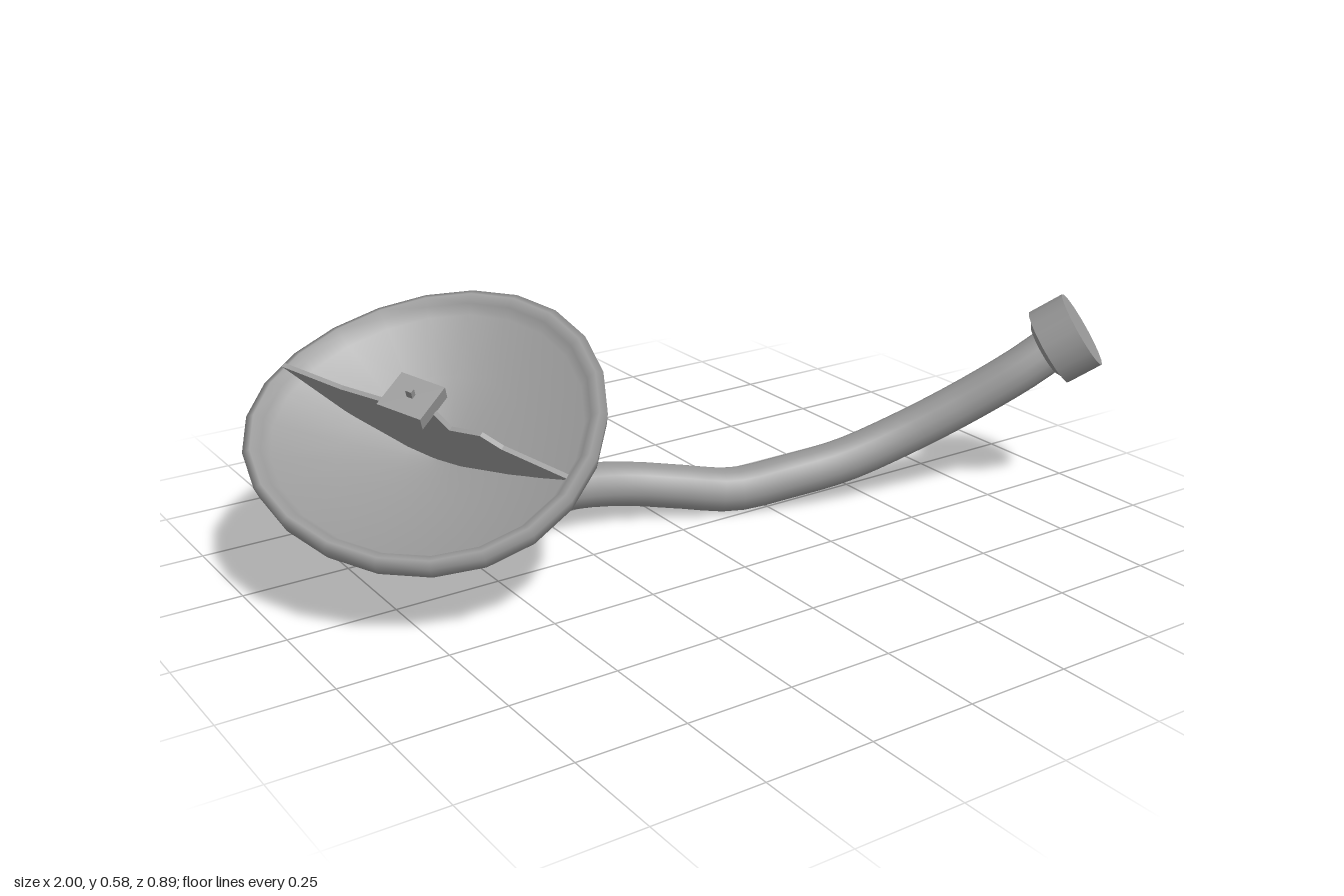
import * as THREE from 'three';

const grey = new THREE.MeshStandardMaterial({ color: 0x999999, side: THREE.DoubleSide });
const v3 = (p) => new THREE.Vector3(...p);

function mesh(name, geometry, parent) {
  const m = new THREE.Mesh(geometry, grey);
  m.name = name;
  parent.add(m);
  return m;
}

const lathe = (pts, sides) =>
  new THREE.LatheGeometry(pts.map(([r, y]) => new THREE.Vector2(r, y)), sides);

// Bends a bowl into a slight saddle, high along one diagonal and low across it
function saddle(geometry, height, radius) {
  const p = geometry.attributes.position;
  for (let i = 0; i < p.count; i++) {
    const along = (0.53 * p.getX(i) - 0.85 * p.getZ(i)) / radius;
    const across = (0.85 * p.getX(i) + 0.53 * p.getZ(i)) / radius;
    p.setY(i, p.getY(i) + height * (along * along - across * across));
  }
  return geometry;
}

// Group whose local y runs along `axis` and local x as near `side` as possible
function orientedGroup(name, position, axis, side, parent) {
  const y = v3(axis).normalize();
  const x = v3(side).addScaledVector(y, -v3(side).dot(y)).normalize();
  const g = new THREE.Group();
  g.name = name;
  g.position.set(...position);
  g.quaternion.setFromRotationMatrix(new THREE.Matrix4().makeBasis(x, y, x.clone().cross(y)));
  parent.add(g);
  return g;
}

export function createModel() {
  const model = new THREE.Group();
  model.name = 'dishOnCurvedPipe';

  // Curved pipe from the dish collar to the end cap
  const path = new THREE.CatmullRomCurve3([
    [-0.57, 0.24, -0.13], [-0.535, 0.165, -0.153], [-0.46, 0.115, -0.168],
    [-0.2, 0.105, -0.16], [-0.07, 0.09, -0.135], [0.05, 0.072, -0.083],
    [0.17, 0.054, -0.035], [0.3, 0.076, 0.017], [0.43, 0.105, 0.066],
    [0.56, 0.16, 0.122], [0.68, 0.235, 0.195], [0.8, 0.33, 0.28], [0.875, 0.39, 0.32],
  ].map(v3));
  mesh('pipe', new THREE.TubeGeometry(path, 36, 0.054, 14), model);

  // Cap on the free end
  const end = orientedGroup('endCap', [0.892, 0.408, 0.335], [0.6, 0.55, 0.58], [1, 0, 0], model);
  mesh('capBody', new THREE.CylinderGeometry(0.098, 0.098, 0.09, 18), end);
  mesh('capShoulder', new THREE.CylinderGeometry(0.09, 0.065, 0.014, 18), end).position.y = -0.051;

  // Tilted dish; its origin is the middle of the rim
  const dish = orientedGroup('dish', [-0.62, 0.39, -0.07], [-0.36, 1, 0.42], [0.37, -0.127, 0.62], model);
  const bowl = lathe([
    [0, -0.15], [0.08, -0.146], [0.22, -0.097], [0.365, -0.045], [0.388, -0.028], [0.393, 0.005],
    [0.376, 0.012], [0.356, 0], [0.34, -0.022], [0.2, -0.077], [0.07, -0.117], [0, -0.125],
  ], 22);
  mesh('bowl', saddle(bowl, 0.026, 0.39), dish);

  // Collar under the bowl
  mesh('collar', lathe([
    [0, -0.193], [0.066, -0.192], [0.079, -0.178], [0.079, -0.13], [0, -0.13],
  ], 18), dish);

  // Thin fin across the bowl, with a stem in the middle
  const outline = [
    [-0.375, 0.01], [-0.22, 0.005], [-0.11, 0.015], [-0.08, 0.05], [-0.035, 0.05], [-0.035, 0.085],
    [-0.02, 0.085], [-0.02, 0.05], [0.02, 0.045], [0.06, 0], [0.14, 0.02], [0.19, 0],
    [0.355, -0.02], [0.2, -0.083], [0.07, -0.124], [-0.07, -0.124], [-0.2, -0.083],
  ].map(([x, y]) => new THREE.Vector2(x, y));
  const fin = new THREE.ExtrudeGeometry(new THREE.Shape(outline), { depth: 0.012, bevelEnabled: false });
  mesh('fin', fin.translate(0, 0, -0.006), dish);

  // Small block carried by the fin
  mesh('centreBlock', new THREE.BoxGeometry(0.11, 0.032, 0.1), dish).position.set(-0.028, 0.05, 0);

  return model;
}
